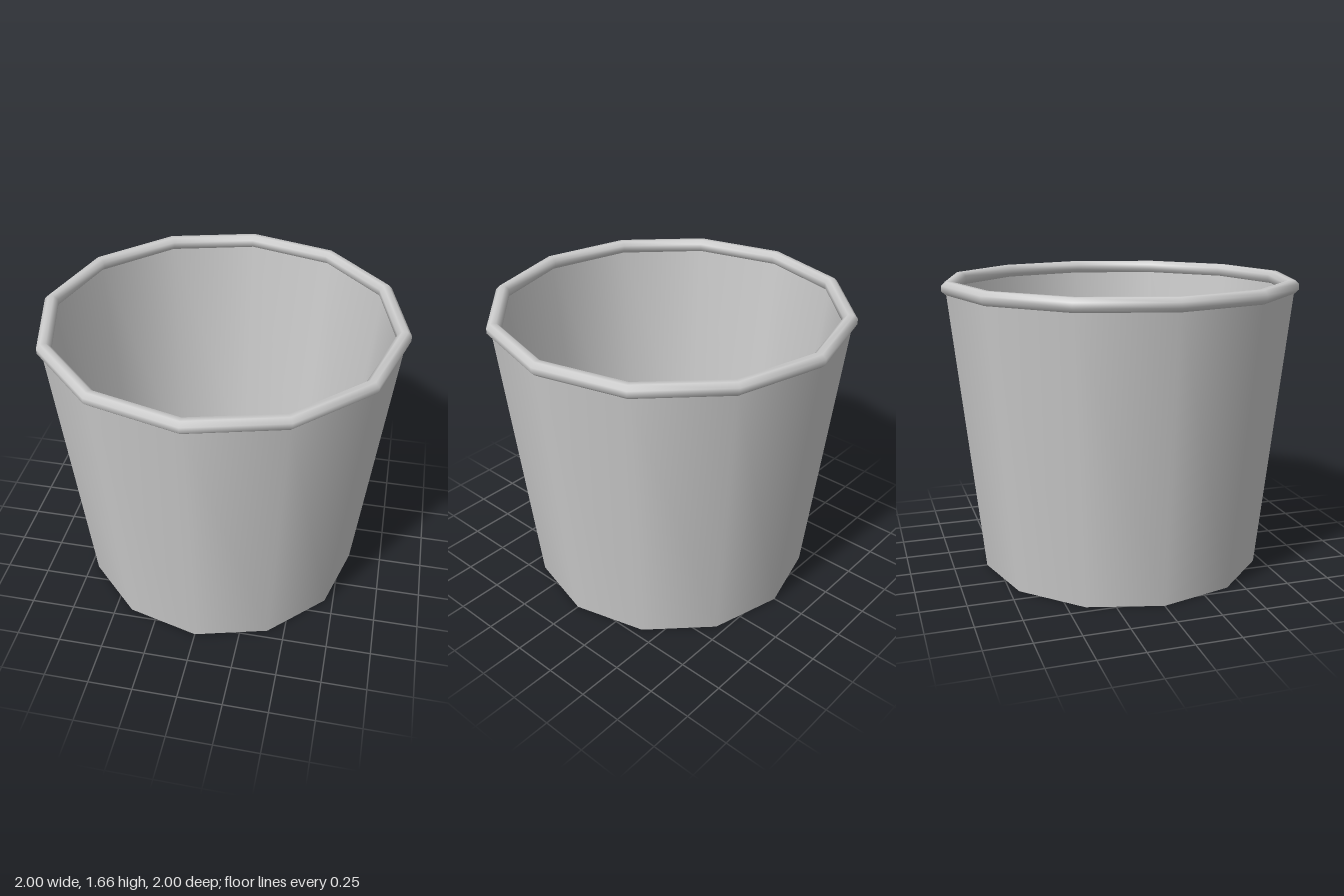
import * as THREE from 'three';

const SIDES = 12;

export function createModel() {
  const group = new THREE.Group();
  const material = new THREE.MeshStandardMaterial({ color: 0xcccccc });

  const add = (name, geometry) => {
    const mesh = new THREE.Mesh(geometry, material);
    mesh.name = name;
    group.add(mesh);
    return mesh;
  };
  // Twelve-sided ring surface from [radius, height] pairs
  const ring = (name, points) =>
    add(name, new THREE.LatheGeometry(points.map(([r, y]) => new THREE.Vector2(r, y)), SIDES));

  // Tapered wall: outside runs upward, inside runs downward
  ring('outerWall', [[0.81, 0], [0.977, 1.61]]);
  ring('innerWall', [[0.957, 1.61], [0.79, 0.02]]);

  // Bottom disc and the floor inside
  const underside = add('underside', new THREE.CircleGeometry(0.81, SIDES));
  underside.rotation.x = Math.PI / 2;
  const floor = add('floor', new THREE.CircleGeometry(0.79, SIDES));
  floor.rotation.x = -Math.PI / 2;
  floor.position.y = 0.02;

  // Rolled rim: an eight-sided bead around the mouth
  const bead = [];
  for (let i = 0; i <= 8; i++) {
    const a = (i - 2.5) * Math.PI / 4;
    bead.push([0.9625 + 0.0375 * Math.cos(a) / Math.cos(Math.PI / 8),
      1.62 + 0.036 * Math.sin(a) / Math.cos(Math.PI / 8)]);
  }
  ring('rim', bead);

  return group;
}
